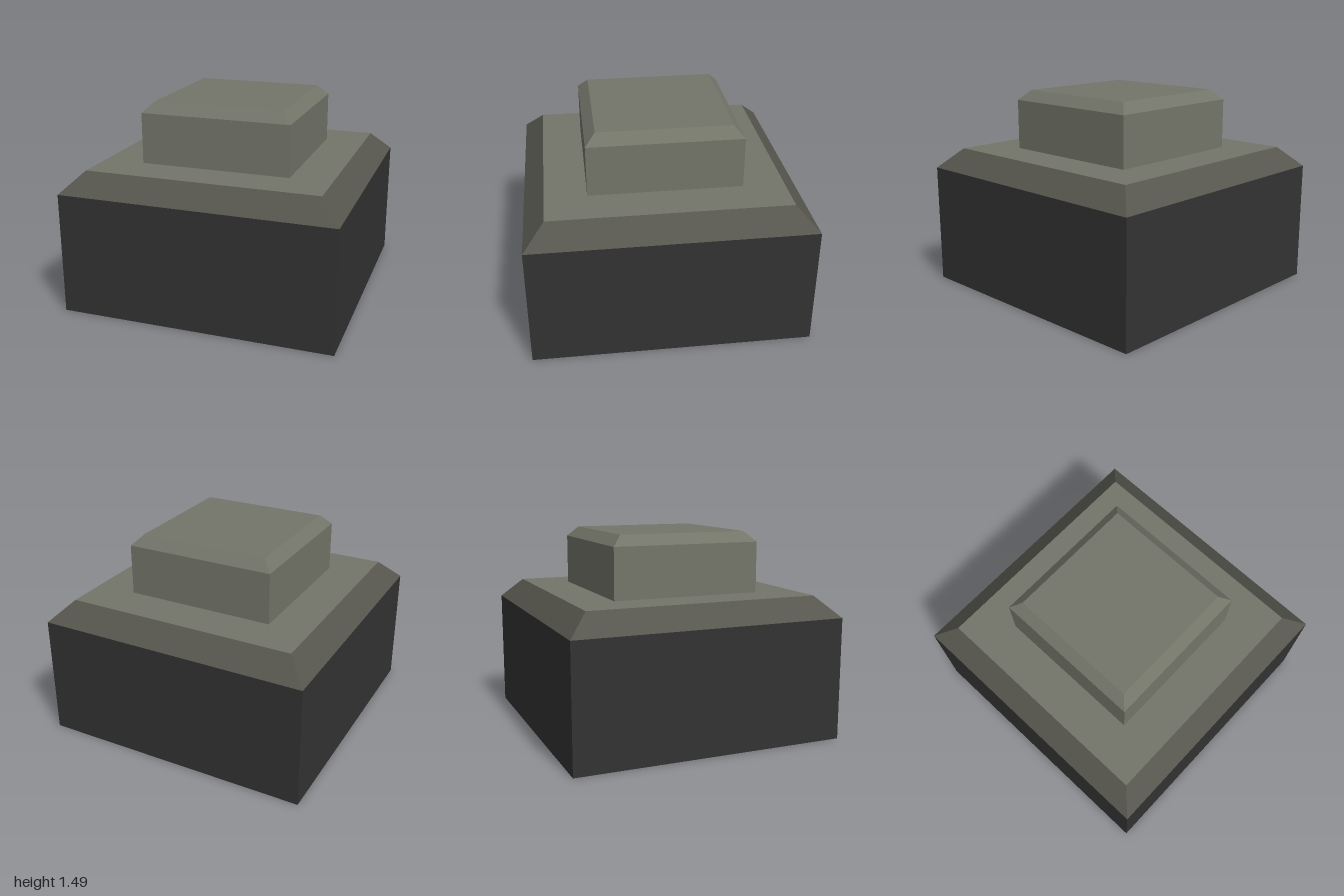
import * as THREE from 'three';

const material = (name, color) =>
  new THREE.MeshStandardMaterial({ name, color, side: THREE.DoubleSide, flatShading: true });

// Open square ring of four walls, from half-width `low` at y0 to `high` at y1
function squareWalls(low, high, y0, y1) {
  const r = Math.SQRT2;
  const indexed = new THREE.CylinderGeometry(high * r, low * r, y1 - y0, 4, 1, true);
  indexed.rotateY(Math.PI / 4).translate(0, (y0 + y1) / 2, 0);
  const geometry = indexed.toNonIndexed();
  geometry.computeVertexNormals();
  return geometry;
}

// Flat square facing up
function squareTop(half, y) {
  return new THREE.PlaneGeometry(half * 2, half * 2).rotateX(-Math.PI / 2).translate(0, y, 0);
}

export function createModel() {
  const group = new THREE.Group();
  group.name = 'pushButton';

  const charcoal = material('charcoal', 0x333333);
  const darkOlive = material('darkOliveGrey', 0x56564e);
  const olive = material('oliveGrey', 0x747569);

  const add = (name, geometry, mat) => {
    const mesh = new THREE.Mesh(geometry, mat);
    mesh.name = name;
    group.add(mesh);
  };

  // Housing: hollow underneath, with a bevelled rim
  add('housingWalls', squareWalls(1, 1, 0, 0.89), charcoal);
  add('housingBevel', squareWalls(1, 0.85, 0.89, 1.04), darkOlive);
  add('housingTop', squareTop(0.85, 1.04), olive);

  // Raised square button
  add('buttonWalls', squareWalls(0.55, 0.55, 1.04, 1.41), olive);
  add('buttonBevel', squareWalls(0.55, 0.477, 1.41, 1.485), olive);
  add('buttonTop', squareTop(0.477, 1.485), olive);

  return group;
}
